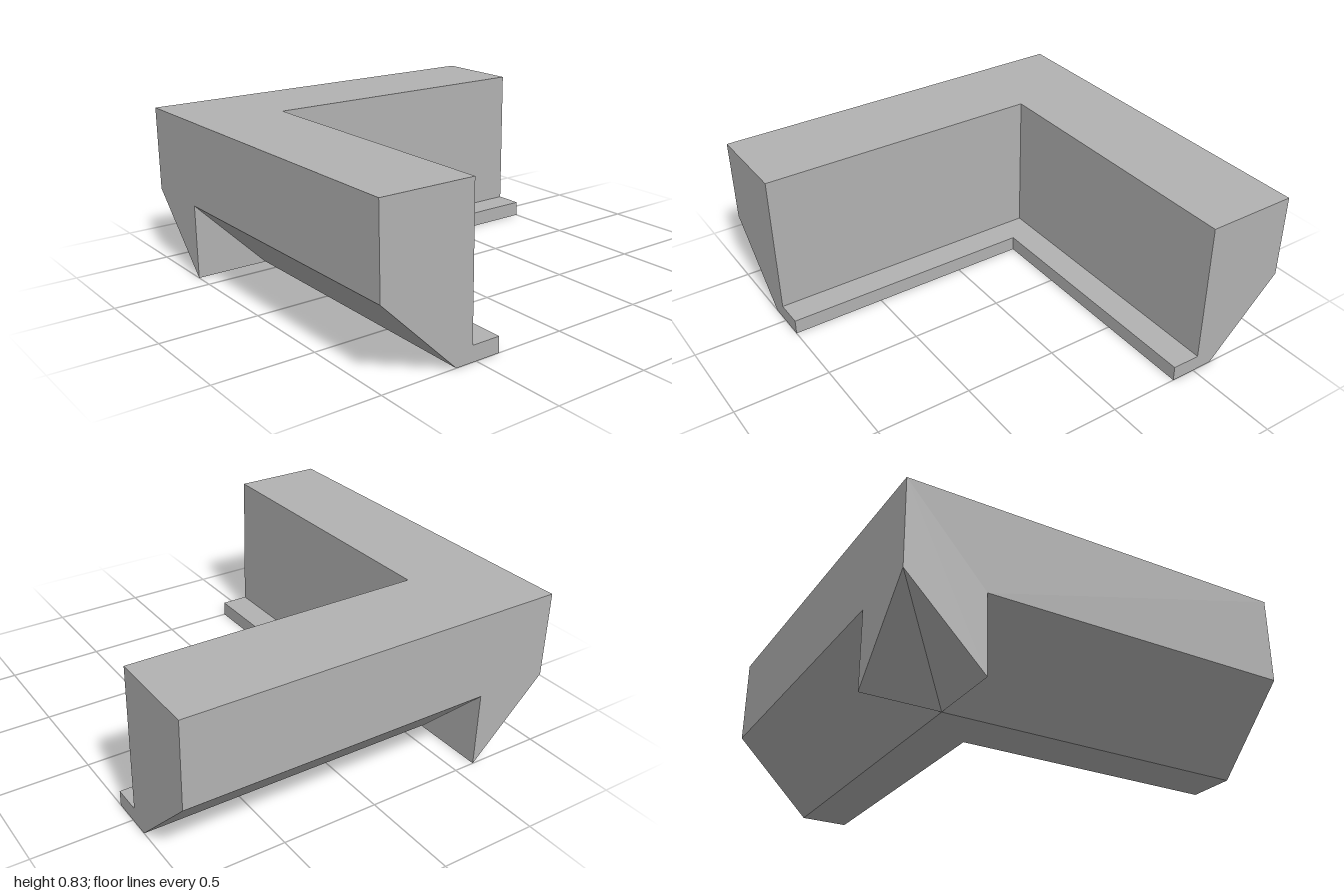
import * as THREE from 'three';

const TOP = 0.83, LEDGE = 0.08, CUT_Y = 0.39;
const OUT = -1, WALL = -0.52, LIP = -0.37, CUT = -0.61, END = 1;

// Turns a list of flat polygons (each fanned from its first corner) into a geometry.
// With swap, x and z trade places, mirroring the part across the corner diagonal.
function polygonGeometry(polygons, swap) {
  const positions = [];
  const put = ([x, y, z]) => positions.push(...(swap ? [z, y, x] : [x, y, z]));
  for (const p of polygons) {
    for (let i = 1; i < p.length - 1; i++) {
      put(p[0]);
      put(p[swap ? i + 1 : i]);
      put(p[swap ? i : i + 1]);
    }
  }
  const geometry = new THREE.BufferGeometry();
  geometry.setAttribute('position', new THREE.Float32BufferAttribute(positions, 3));
  geometry.computeVertexNormals();
  return geometry;
}

// One arm, running along x from the mitred corner to its open end.
function armPolygons() {
  // Cross-section: z, y, and the x where that edge starts at the corner
  const profile = [
    [OUT, TOP, OUT],
    [WALL, TOP, WALL],
    [WALL, LEDGE, WALL],
    [LIP, LEDGE, LIP],
    [LIP, 0, LIP],
    [CUT, 0, CUT],
    [OUT, CUT_Y, CUT],
  ];
  const polygons = profile.map(([z, y, start], i) => {
    const [z2, y2, start2] = profile[(i + 1) % profile.length];
    return [[start, y, z], [start2, y2, z2], [END, y2, z2], [END, y, z]];
  });
  // End cap, fanned from the inner ledge corner
  polygons.push(profile.map((_, i) => {
    const [z, y] = profile[(i + 2) % profile.length];
    return [END, y, z];
  }));
  // Outer wall at the corner, reaching down to a point
  polygons.push([[OUT, TOP, OUT], [CUT, CUT_Y, OUT], [CUT, 0, OUT], [OUT, CUT_Y, OUT]]);
  // Upright triangle where the chamfer stops
  polygons.push([[CUT, CUT_Y, OUT], [CUT, 0, CUT], [CUT, 0, OUT]]);
  // Sloping underside of the corner, meeting its twin on the diagonal
  polygons.push([[OUT, CUT_Y, OUT], [CUT, 0, OUT], [CUT, 0, CUT]]);
  return polygons;
}

export function createModel() {
  const grey = new THREE.MeshStandardMaterial({ color: 0xb2b2b2 });
  grey.name = 'plain grey';

  const group = new THREE.Group();
  group.name = 'cornerTrim';
  for (const [name, swap] of [['backArm', false], ['sideArm', true]]) {
    const arm = new THREE.Mesh(polygonGeometry(armPolygons(), swap), grey);
    arm.name = name;
    group.add(arm);
  }
  return group;
}
